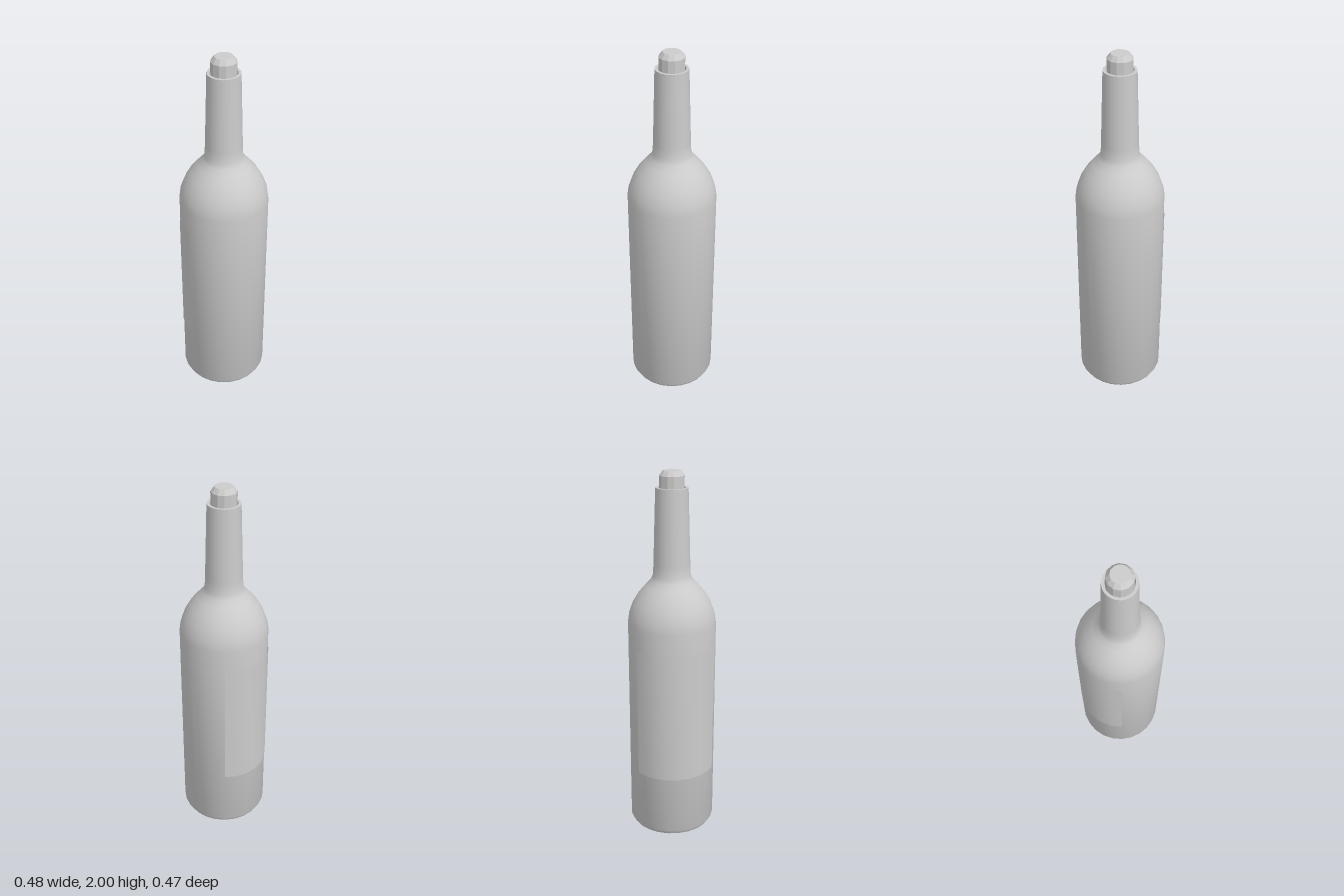
import * as THREE from 'three';
import { toCreasedNormals } from 'three/addons/utils/BufferGeometryUtils.js';

const SIDES = 24;
const material = new THREE.MeshStandardMaterial({ color: 0xcccccc });
const flatMaterial = new THREE.MeshStandardMaterial({ color: 0xcccccc, flatShading: true });
const thinMaterial = new THREE.MeshStandardMaterial({ color: 0xcccccc, side: THREE.DoubleSide });

// Turn a profile of [radius, height] pairs around the y axis
function turn(name, profile, sides, mat, start = 0, sweep = Math.PI * 2) {
  const points = profile.map(([r, y]) => new THREE.Vector2(r, y));
  const lathe = new THREE.LatheGeometry(points, sides, start, sweep);
  const mesh = new THREE.Mesh(toCreasedNormals(lathe, 0.65), mat);
  mesh.name = name;
  return mesh;
}

export function createModel() {
  const bottle = new THREE.Group();
  bottle.name = 'bottle';

  // Glass: hollow base, straight body, round shoulder, tapered neck and open lip
  bottle.add(turn('glass', [
    [0, 0.1], [0.04, 0.07], [0.09, 0.015], [0.2, 0],
    [0.222, 0.008], [0.237, 0.035], [0.237, 1.2],
    [0.23, 1.25], [0.21, 1.305], [0.178, 1.36], [0.14, 1.405],
    [0.112, 1.435], [0.1, 1.46], [0.097, 1.52], [0.085, 1.915],
    [0.071, 1.915], [0.071, 1.86], [0, 1.86],
  ], SIDES, material));

  // Thin label wrapped around the -x side
  const step = Math.PI * 2 / SIDES;
  bottle.add(turn('label', [[0.24, 0.36], [0.24, 1.08]], 8, thinMaterial,
    Math.PI * 1.5 - 4 * step, 8 * step));

  // Stopper with a bevelled top
  bottle.add(turn('cork', [
    [0, 1.86], [0.066, 1.86], [0.066, 1.975], [0.047, 2], [0, 2],
  ], 12, flatMaterial));

  return bottle;
}
